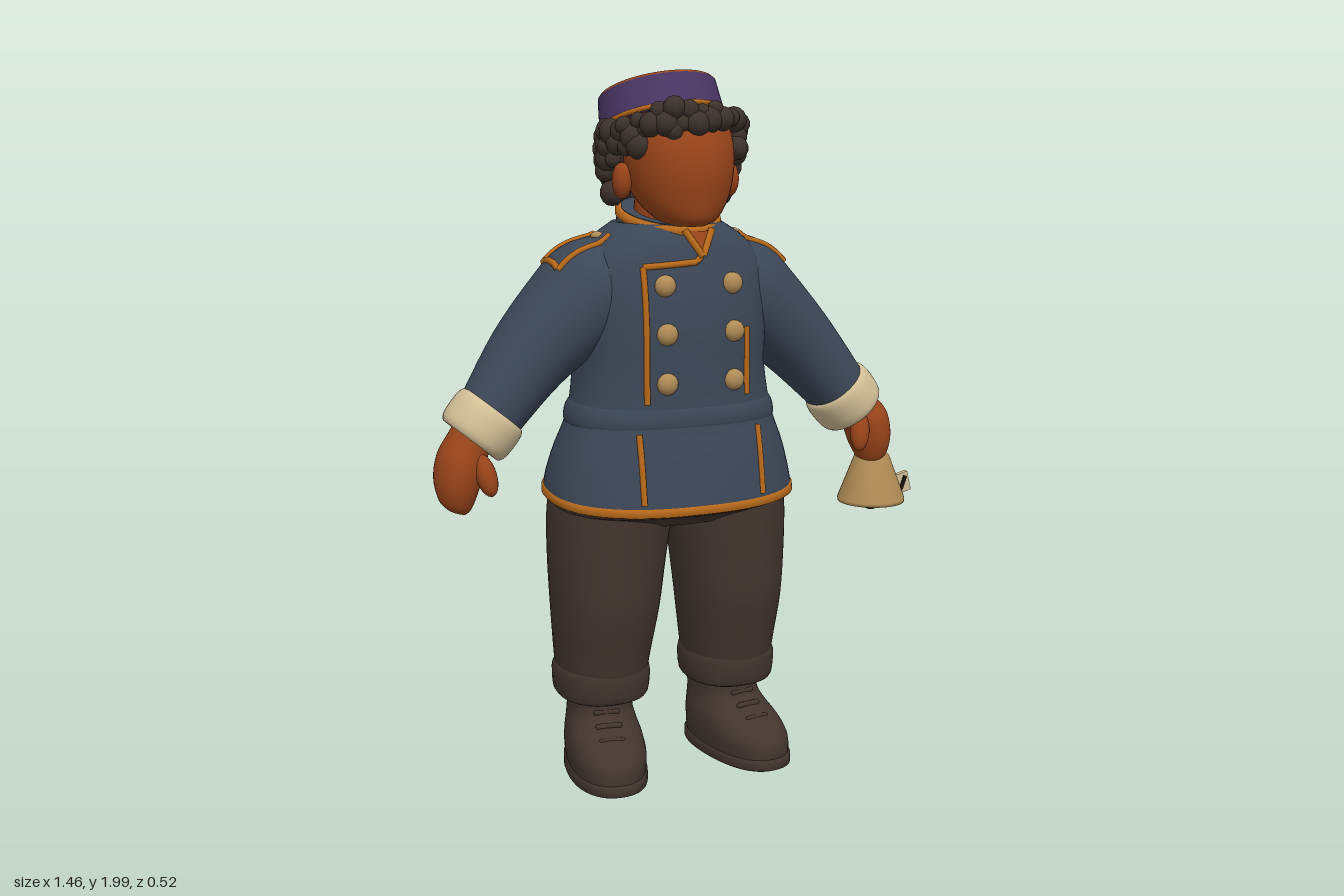
import * as THREE from 'three';
import { mergeGeometries } from 'three/addons/utils/BufferGeometryUtils.js';

const mat = (name, color) => {
  const m = new THREE.MeshStandardMaterial({ color });
  m.name = name;
  return m;
};

export function createModel() {
  const navy = mat('navy cloth', 0x3c4757), skin = mat('skin', 0x98441a), brown = mat('brown cloth', 0x42352e);
  const dark = mat('dark hair', 0x3d322c), cream = mat('cream cuff', 0xd2bf96), brass = mat('brass', 0xb08c56);
  const gold = mat('orange trim', 0xb8691a), purple = mat('purple band', 0x4a3664), black = mat('black', 0x16130f);

  const root = new THREE.Group();
  root.name = 'figure';
  const body = new THREE.Group();
  body.name = 'body';
  body.position.x = -0.035;
  root.add(body);

  const add = (name, geo, material, pos = [0, 0, 0], parent = body) => {
    const m = new THREE.Mesh(geo, material);
    m.name = name;
    m.position.set(...pos);
    parent.add(m);
    return m;
  };
  const ball = (name, material, r, pos, scale, parent) => {
    const m = add(name, new THREE.SphereGeometry(r, 20, 14), material, pos, parent);
    m.scale.set(...scale);
    return m;
  };

  // Closed skin over sections [x, y, z, halfWidth, halfDepth, tilt, pitch], listed from bottom to top
  function loft(sections, n = 2, sub = 4, seg = 40) {
    const rows = [], at = i => sections[Math.min(Math.max(i, 0), sections.length - 1)];
    for (let i = 0; i < sections.length - 1; i++) {
      for (let k = 0; k < sub; k++) {
        const t = k / sub;
        rows.push([0, 1, 2, 3, 4, 5, 6].map(c => {
          const [a, b, d, e] = [-1, 0, 1, 2].map(o => at(i + o)[c] ?? 0);
          return b + 0.5 * t * (d - a + t * (2 * a - 5 * b + 4 * d - e + t * (3 * (b - d) + e - a)));
        }));
      }
    }
    rows.push([0, 1, 2, 3, 4, 5, 6].map(c => at(sections.length)[c] ?? 0));
    const pos = [], idx = [];
    const power = v => Math.sign(v) * Math.abs(v) ** (2 / n);
    const ring = ([x, y, z, a, b, tilt, pitch]) => {
      for (let j = 0; j < seg; j++) {
        const u = a * power(Math.cos(j / seg * 2 * Math.PI)), w = b * power(Math.sin(j / seg * 2 * Math.PI));
        pos.push(x + u * Math.cos(tilt), y + u * Math.sin(tilt) + w * pitch, z + w);
      }
    };
    rows.forEach(ring);
    for (let i = 0; i < rows.length - 1; i++) {
      for (let j = 0; j < seg; j++) {
        const a = i * seg + j, b = i * seg + (j + 1) % seg;
        idx.push(a, a + seg, b, b, a + seg, b + seg);
      }
    }
    for (const top of [false, true]) {
      const row = top ? rows[rows.length - 1] : rows[0], base = pos.length / 3;
      ring(row);
      pos.push(row[0], row[1], row[2]);
      for (let j = 0; j < seg; j++) {
        const a = base + j, b = base + (j + 1) % seg;
        idx.push(base + seg, top ? b : a, top ? a : b);
      }
    }
    const g = new THREE.BufferGeometry();
    g.setAttribute('position', new THREE.Float32BufferAttribute(pos, 3));
    g.setIndex(idx);
    g.computeVertexNormals();
    return g;
  }

  // Jacket body and waistband
  const jacket = [];
  jacket.push(add('jacket', loft([
    [0, 0.83, -0.003, 0.362, 0.254, 0, -0.08], [0, 0.88, -0.003, 0.355, 0.246, 0, -0.06],
    [0, 0.96, 0, 0.333, 0.228], [0, 1.04, 0.006, 0.302, 0.206], [0, 1.11, 0.006, 0.285, 0.2],
    [0, 1.2, 0, 0.275, 0.205], [0, 1.3, -0.006, 0.28, 0.211], [0, 1.4, -0.01, 0.283, 0.205],
    [0, 1.48, -0.008, 0.265, 0.188], [0, 1.545, -0.007, 0.215, 0.17], [0, 1.59, -0.01, 0.15, 0.145],
  ], 2.4, 4, 56), navy));
  jacket.push(add('waistband', loft([
    [0, 1.03, 0.005, 0.298, 0.2], [0, 1.05, 0.005, 0.305, 0.209],
    [0, 1.085, 0.005, 0.297, 0.206], [0, 1.105, 0.005, 0.282, 0.196]], 2.4, 2, 56), navy));
  add('hemTrim', loft([
    [0, 0.822, -0.003, 0.357, 0.249, 0, -0.08], [0, 0.827, -0.003, 0.366, 0.258, 0, -0.08],
    [0, 0.846, -0.003, 0.365, 0.257, 0, -0.08], [0, 0.852, -0.003, 0.355, 0.245, 0, -0.08]], 2.4, 1, 56), gold);
  // Trouser seat filling the hem
  add('trouserSeat', loft([[0, 0.75, -0.012, 0.25, 0.15], [0, 0.8, -0.008, 0.335, 0.2, 0, -0.08],
    [0, 0.82, -0.003, 0.352, 0.243, 0, -0.08], [0, 0.84, -0.003, 0.345, 0.235, 0, -0.08]], 2.4, 2, 56), brown);

  // Collar and its trimmed edge
  add('collar', loft([[0, 1.52, -0.005, 0.185, 0.165], [0, 1.57, -0.002, 0.15, 0.15, 0, -0.15],
    [0, 1.607, 0, 0.14, 0.148, 0, -0.25]]), navy);
  add('collarTrim', loft([[0, 1.594, 0, 0.14, 0.147, 0, -0.25], [0, 1.6, 0, 0.147, 0.156, 0, -0.25],
    [0, 1.615, 0, 0.146, 0.155, 0, -0.25], [0, 1.62, 0, 0.138, 0.146, 0, -0.25]], 2, 1), gold);
  add('collarLining', loft([[0, 1.61, 0, 0.13, 0.138, 0, -0.25], [0, 1.622, 0, 0.13, 0.138, 0, -0.25]], 2, 1), navy);
  add('neck', new THREE.CylinderGeometry(0.1, 0.115, 0.16, 28), skin, [0.005, 1.59, 0.01]);

  for (const s of [-1, 1]) {
    const side = s > 0 ? 'left' : 'right';
    // Sleeve, cuff and mitten-like hand
    jacket.push(add(side + 'Sleeve', loft([
      [s * 0.545, 1.07, 0.02, 0.088, 0.1, s * 0.7], [s * 0.415, 1.225, -0.015, 0.112, 0.135, s * 0.7],
      [s * 0.28, 1.35, -0.03, 0.137, 0.165, s * 0.75], [s * 0.2, 1.41, -0.03, 0.15, 0.165, s * 0.9],
      [s * 0.1, 1.45, -0.03, 0.125, 0.15, s * 1.15]], 2.1, 5), navy));
    const cuff = [[-0.05, 0.075], [-0.056, 0.09], [-0.035, 0.103], [0.02, 0.105], [0.047, 0.097], [0.048, 0.08]];
    add(side + 'Cuff', loft(cuff.map(([t, r]) =>
      [s * (0.553 - 0.64 * t), 1.06 + 0.77 * t, 0.02, r, r * 1.06, s * 0.7]), 2, 3), cream);
    const up = s > 0 ? 0.03 : 0;
    add(side + 'Hand', loft([
      [s * 0.64, 0.83 + up, 0.05, 0.025, 0.03, s * 0.3], [s * 0.643, 0.85 + up, 0.048, 0.045, 0.05, s * 0.3],
      [s * 0.638, 0.9 + up, 0.04, 0.062, 0.074, s * 0.35], [s * 0.622, 0.96 + up, 0.035, 0.067, 0.078, s * 0.4],
      [s * 0.597, 1.01 + up / 2, 0.028, 0.061, 0.068, s * 0.55], [s * 0.565, 1.06, 0.022, 0.057, 0.06, s * 0.7]]), skin);
    const thumb = ball(side + 'Thumb', skin, 0.03, [s * 0.57, 0.935 + up, 0.1], [0.95, 2, 1]);
    thumb.rotation.set(-0.35, 0, -s * 0.2);

    // Trouser leg with turn-up
    add(side + 'TrouserLeg', loft([
      [s * 0.2, 0.26, -0.037, 0.125, 0.14], [s * 0.198, 0.36, -0.03, 0.137, 0.153],
      [s * 0.194, 0.5, -0.015, 0.153, 0.171], [s * 0.188, 0.64, -0.013, 0.166, 0.176],
      [s * 0.178, 0.77, -0.012, 0.176, 0.18], [s * 0.165, 0.9, -0.01, 0.175, 0.185]], 2.2), brown);
    add(side + 'TurnUp', loft([
      [s * 0.2, 0.225, -0.038, 0.115, 0.13], [s * 0.2, 0.24, -0.038, 0.133, 0.146],
      [s * 0.2, 0.3, -0.036, 0.138, 0.15], [s * 0.2, 0.325, -0.034, 0.13, 0.144]], 2.3, 3), brown);

    // Boot with sole and laces
    const boot = new THREE.Group();
    boot.name = side + 'Boot';
    boot.position.x = s * 0.207;
    boot.rotation.y = s * 0.16;
    body.add(boot);
    add('sole', loft([[0, 0.005, 0.025, 0.106, 0.203], [0, 0.01, 0.025, 0.114, 0.213],
      [0, 0.035, 0.025, 0.114, 0.213], [0, 0.042, 0.025, 0.106, 0.203]], 2.3, 1), brown, [0, 0, 0], boot);
    add('upper', loft([[0, 0.03, 0.025, 0.108, 0.205], [0, 0.08, 0.022, 0.112, 0.203], [0, 0.12, 0.0, 0.108, 0.18],
      [0, 0.155, -0.035, 0.099, 0.138], [0, 0.19, -0.055, 0.094, 0.115], [0, 0.25, -0.055, 0.098, 0.115]], 2.3),
      brown, [0, 0, 0], boot);
    for (const [y, z] of [[0.193, 0.052], [0.163, 0.086], [0.136, 0.13]])
      add('lace', new THREE.CapsuleGeometry(0.009, 0.06, 4, 8), brown, [0, y, z], boot).rotation.z = Math.PI / 2;
  }

  // Find points on the jacket surface, seen from the front or from above
  const ray = new THREE.Raycaster();
  const hit = (o, d) => {
    ray.set(new THREE.Vector3(...o), new THREE.Vector3(...d));
    const h = ray.intersectObjects(jacket)[0];
    return h ? h.point : new THREE.Vector3(...o).addScaledVector(ray.ray.direction, 1.8);
  };
  const onFront = (x, y) => hit([x, y, 2], [0, 0, -1]);
  const onTop = (x, z) => hit([x, 3, z], [0, -1, 0]);
  const piping = (name, corners, project) => {
    for (let i = 0; i < corners.length - 1; i++) {
      const [a, b] = [corners[i], corners[i + 1]], pts = [];
      for (let k = 0; k <= 8; k++)
        pts.push(project(a[0] + (b[0] - a[0]) * k / 8, a[1] + (b[1] - a[1]) * k / 8));
      add(name, new THREE.TubeGeometry(new THREE.CatmullRomCurve3(pts), 20, 0.009, 8), gold);
    }
  };

  // Front edge, skirt panel and shoulder piping
  piping('frontEdgeTrim', [[-0.14, 1.11], [-0.14, 1.48], [0.01, 1.49], [0.025, 1.505]], onFront);
  piping('frontSideTrim', [[0.16, 1.12], [0.16, 1.31]], onFront);
  for (const x of [-0.165, 0.195]) piping('skirtPanelTrim', [[x, 0.84], [x, 1.03]], onFront);
  for (const s of [-1, 1]) {
    piping('shoulderStrapTrim', [[s * 0.19, -0.08], [s * 0.34, -0.08], [s * 0.34, 0.045], [s * 0.19, 0.045]], onTop);
    ball('shoulderButton', brass, 0.018, onTop(s * 0.205, -0.015).toArray(), [1, 0.7, 1]);
  }

  // Open notch of the collar
  const notch = new THREE.BufferGeometry().setFromPoints([[-0.012, 1.572, 0.157], [0.028, 1.51, 0.186], [0.06, 1.572, 0.157]]
    .map(p => new THREE.Vector3(...p)));
  notch.computeVertexNormals();
  add('collarOpening', notch, skin);
  for (const x of [-0.015, 0.065])
    add('collarNotchTrim', new THREE.TubeGeometry(new THREE.LineCurve3(new THREE.Vector3(x, 1.575, 0.153),
      new THREE.Vector3(0.026, 1.505, 0.185)), 4, 0.01, 8), gold);

  // Two columns of buttons
  for (const x of [-0.085, 0.115]) for (const y of [1.165, 1.3, 1.43])
    ball('button', brass, 0.03, onFront(x, y).toArray(), [1, 1, 0.75]);

  // Head and ears
  add('head', loft([
    [0.01, 1.585, 0.115, 0.045, 0.06], [0.01, 1.605, 0.105, 0.085, 0.095], [0.01, 1.66, 0.07, 0.128, 0.142],
    [0.01, 1.73, 0.055, 0.148, 0.163], [0.01, 1.8, 0.045, 0.153, 0.16], [0.01, 1.86, 0.015, 0.145, 0.155],
    [0.005, 1.91, -0.02, 0.11, 0.12]]), skin);
  for (const s of [-1, 1]) ball('ear', skin, 0.045, [0.01 + s * 0.16, 1.705, 0.035], [0.6, 1.1, 0.75]);

  // Curly hair: a base with rows of curls, open around the face
  ball('hairBase', dark, 0.17, [0.01, 1.78, -0.045], [1, 0.8, 0.84]);
  let seed = 7;
  const rnd = () => (seed = (seed * 16807) % 2147483647) / 2147483647 - 0.5;
  const curls = [];
  for (let row = 0; row < 8; row++) {
    for (let i = 0; i < 28; i++) {
      const angle = (i + (row % 2) / 2) / 28 * 2 * Math.PI - Math.PI, y = 1.665 + row * 0.033 + rnd() * 0.022;
      const k = (1 - 1.2 * Math.max(0, 1.74 - y)) * (1 + rnd() * 0.08), z = 0.172 * k * Math.cos(angle);
      const turn = Math.abs(angle), low = turn < 0.85 ? 1.83 : turn < 1.45 ? 1.78 : turn < 1.75 ? 1.73 : 1.64;
      if (y < low || y > 1.845 + 0.33 * z) continue;
      const g = new THREE.SphereGeometry(0.03 + rnd() * 0.016, 9, 7);
      curls.push(g.translate(0.01 + 0.182 * k * Math.sin(angle), y, z));
    }
  }
  add('hairCurls', mergeGeometries(curls), dark);

  // Round cap tilted to the back
  const cap = new THREE.Group();
  cap.name = 'cap';
  cap.position.set(-0.005, 1.857, -0.028);
  cap.rotation.set(-0.32, 0, 0.05);
  body.add(cap);
  add('capBand', new THREE.CylinderGeometry(0.166, 0.176, 0.09, 48), purple, [0, 0.045, 0], cap);
  add('capTrim', new THREE.TorusGeometry(0.173, 0.007, 8, 48), gold, [0, 0.003, 0], cap).rotation.x = Math.PI / 2;
  add('capTop', new THREE.CylinderGeometry(0.16, 0.166, 0.007, 48), skin, [0, 0.0935, 0], cap);

  // Hand bell with clapper and a small tag
  const bell = new THREE.Group();
  bell.name = 'handBell';
  bell.position.set(0.648, 0, 0.04);
  body.add(bell);
  const profile = [[0, 0.755], [0.085, 0.752], [0.092, 0.738], [0.1, 0.735], [0.101, 0.745], [0.052, 0.875], [0.04, 0.887], [0, 0.89]];
  add('bellCup', new THREE.LatheGeometry(profile.map(p => new THREE.Vector2(...p)), 40), brass, [0, 0, 0], bell);
  ball('clapper', dark, 0.027, [0, 0.733, 0], [1, 1, 1], bell);
  const tag = add('tag', new THREE.BoxGeometry(0.045, 0.06, 0.016), cream, [0.085, 0.79, 0.035], bell);
  tag.rotation.z = 0.25;
  add('tagMark', new THREE.BoxGeometry(0.012, 0.045, 0.022), black, [0, 0, 0], tag).rotation.z = -0.6;
  add('tagSideMark', new THREE.BoxGeometry(0.004, 0.045, 0.008), black, [0.0225, 0, 0], tag);
  return root;
}
